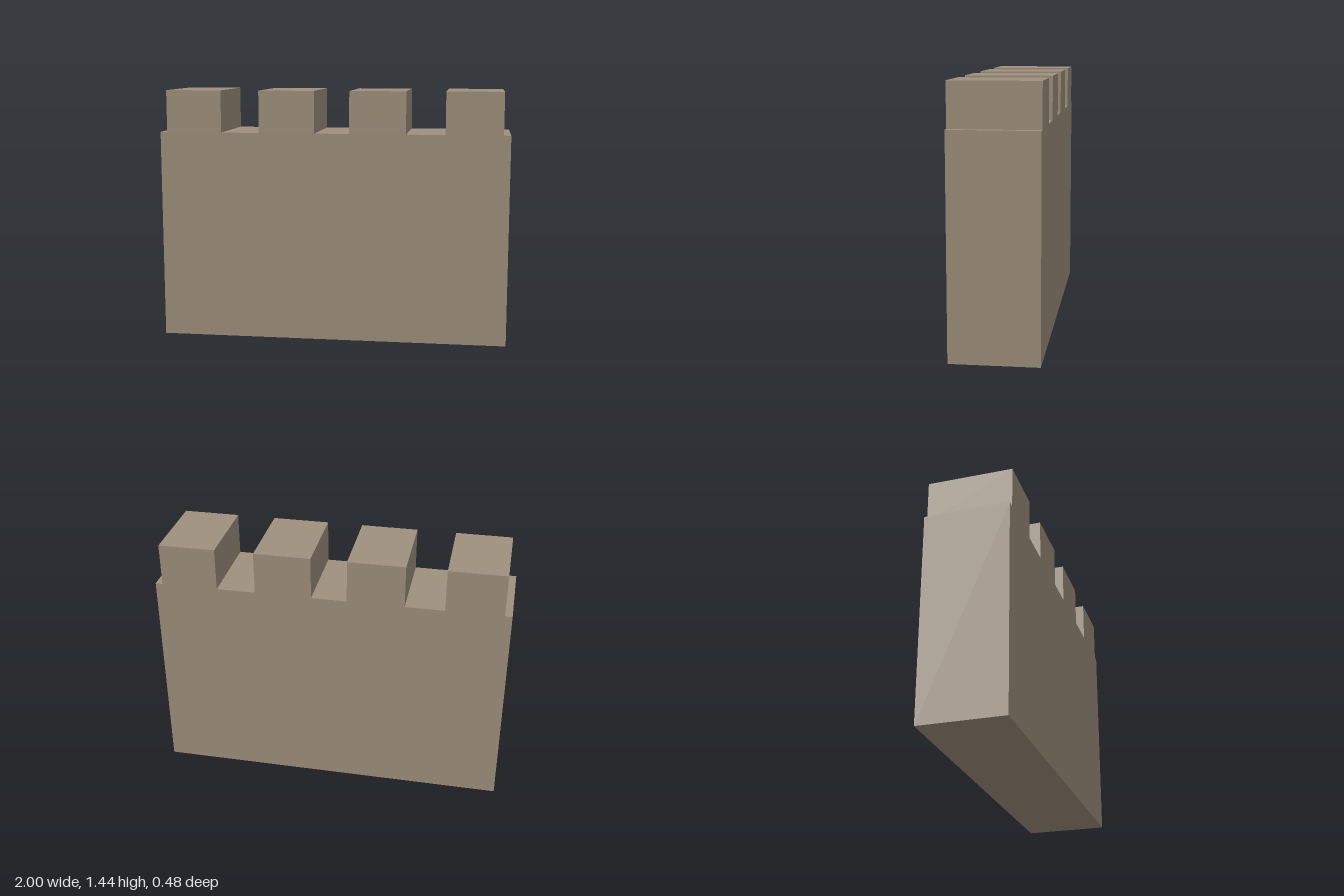
import * as THREE from 'three';

export function createModel() {
  const wallTop = 1.2, merlonTop = 1.44, depth = 0.48, merlonWidth = 0.32;
  const stone = new THREE.MeshStandardMaterial({ color: 0xa0917d, flatShading: true });

  // Wall silhouette, with the merlons rising from its top edge
  const outline = new THREE.Shape();
  outline.moveTo(-1, 0);
  outline.lineTo(1, 0);
  outline.lineTo(1, wallTop);
  for (const x of [0.8, 0.26, -0.26, -0.8]) {
    const right = x + merlonWidth / 2, left = x - merlonWidth / 2;
    outline.lineTo(right, wallTop);
    outline.lineTo(right, merlonTop);
    outline.lineTo(left, merlonTop);
    outline.lineTo(left, wallTop);
  }
  outline.lineTo(-1, wallTop);
  outline.closePath();

  const geometry = new THREE.ExtrudeGeometry(outline, { depth, bevelEnabled: false });
  geometry.translate(0, 0, -depth / 2);

  const wall = new THREE.Mesh(geometry, stone);
  wall.name = 'crenellatedWall';

  const model = new THREE.Group();
  model.name = 'castleWall';
  model.add(wall);
  return model;
}
